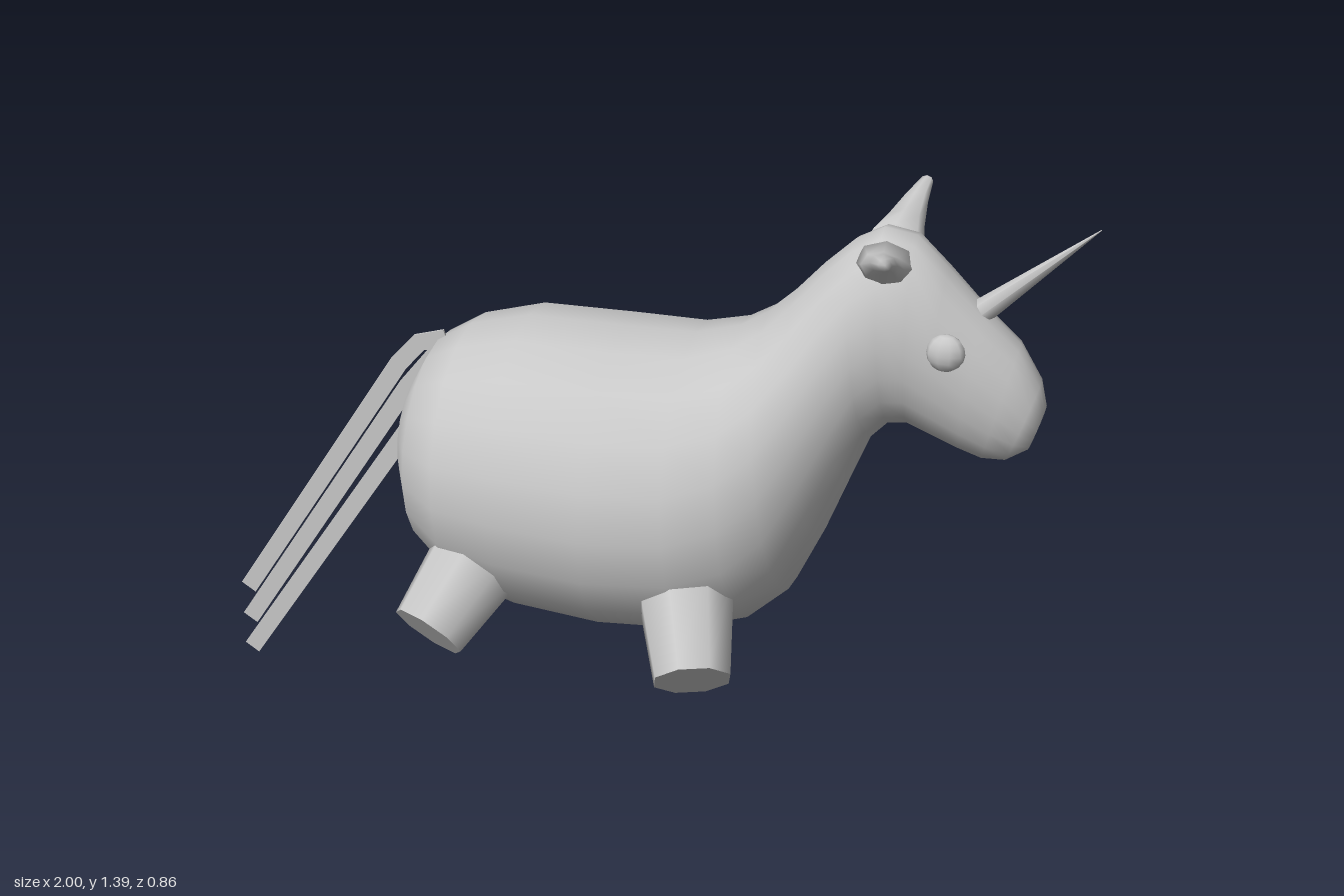
import * as THREE from 'three';

const V = (x, y, z = 0) => new THREE.Vector3(x, y, z);

// Closed smooth skin over elliptical rings [centre, u, v], where u x v points along the loft
function loft(rings, sides) {
  const pos = [], idx = [];
  for (const [c, u, v] of rings) {
    for (let j = 0; j < sides; j++) {
      const a = (j / sides) * Math.PI * 2;
      pos.push(...c.clone().addScaledVector(u, Math.cos(a)).addScaledVector(v, Math.sin(a)).toArray());
    }
  }
  const last = rings.length - 1, start = rings.length * sides, end = start + 1;
  pos.push(...rings[0][0].toArray(), ...rings[last][0].toArray());
  for (let j = 0; j < sides; j++) {
    const k = (j + 1) % sides;
    for (let i = 0; i < last; i++) {
      const a = i * sides + j, d = i * sides + k, b = a + sides, c = d + sides;
      idx.push(a, d, c, a, c, b);
    }
    idx.push(start, k, j, end, last * sides + j, last * sides + k);
  }
  const g = new THREE.BufferGeometry();
  g.setAttribute('position', new THREE.Float32BufferAttribute(pos, 3));
  g.setIndex(idx);
  g.computeVertexNormals();
  return g;
}

// Tapered round piece standing between two points
function taper(from, to, r0, r1, sides) {
  const dir = to.clone().sub(from);
  const g = new THREE.CylinderGeometry(r1, r0, dir.length(), sides);
  g.applyQuaternion(new THREE.Quaternion().setFromUnitVectors(V(0, 1), dir.clone().normalize()));
  const mid = from.clone().add(to).multiplyScalar(0.5);
  return g.translate(mid.x, mid.y, mid.z);
}

export function createModel() {
  const model = new THREE.Group();
  const grey = new THREE.MeshStandardMaterial({ color: 0xc8c8c8 });
  grey.name = 'plain grey';
  const add = (name, geometry) => {
    const m = new THREE.Mesh(geometry, grey);
    m.name = name;
    model.add(m);
    return m;
  };

  // Body, neck and head: top x, top y, bottom x, bottom y, half width
  const sections = [
    [-0.515, 0.73, -0.515, 0.65, 0.04], [-0.5, 0.84, -0.5, 0.57, 0.13],
    [-0.44, 0.95, -0.44, 0.46, 0.25], [-0.36, 1.0, -0.34, 0.38, 0.31],
    [-0.22, 1.04, -0.2, 0.345, 0.345], [0, 1.045, 0, 0.333, 0.355],
    [0.16, 1.05, 0.2, 0.347, 0.335], [0.26, 1.08, 0.32, 0.385, 0.3],
    [0.32, 1.12, 0.41, 0.47, 0.26], [0.38, 1.18, 0.47, 0.61, 0.21],
    [0.44, 1.25, 0.52, 0.75, 0.17], [0.5, 1.31, 0.56, 0.86, 0.147],
    [0.56, 1.345, 0.6, 0.905, 0.135], [0.63, 1.335, 0.64, 0.91, 0.125],
    [0.7, 1.27, 0.69, 0.89, 0.116], [0.78, 1.19, 0.75, 0.865, 0.102],
    [0.86, 1.12, 0.8, 0.848, 0.088], [0.91, 1.04, 0.85, 0.85, 0.07],
    [0.925, 0.98, 0.895, 0.88, 0.045],
  ];
  add('body', loft(sections.map(([tx, ty, bx, by, w]) => [
    V((tx + bx) / 2, (ty + by) / 2), V((tx - bx) / 2, (ty - by) / 2), V(0, 0, w),
  ]), 20));

  for (const s of [1, -1]) {
    // Ear: flat, tapering outward
    const ear = [
      [0.575, 1.28, 0.05, 0.065, 0.055], [0.58, 1.305, 0.115, 0.045, 0.034],
      [0.592, 1.338, 0.175, 0.028, 0.022], [0.605, 1.362, 0.235, 0.014, 0.013],
    ];
    add('ear', loft(ear.map(([x, y, z, a, b]) => [V(x, y, z * s), V(a * s, 0), V(0, b)]), 8));

    // Eye
    const eye = add('eye', new THREE.SphereGeometry(1, 10, 8));
    eye.scale.set(0.041, 0.041, 0.026);
    eye.position.set(0.72, 1.13, 0.111 * s);

    // Stubby splayed legs
    add('frontLeg', taper(V(0.2, 0.54, 0.2 * s), V(0.265, 0.4, 0.37 * s), 0.115, 0.088, 8));
    add('backLeg', taper(V(-0.27, 0.54, 0.2 * s), V(-0.345, 0.41, 0.37 * s), 0.115, 0.088, 8));
  }

  // Horn
  add('horn', taper(V(0.755, 1.165), V(0.997, 1.39), 0.03, 0.001, 8));

  // Belly button
  const navel = add('navel', new THREE.SphereGeometry(1, 10, 6));
  navel.scale.set(0.03, 0.015, 0.04);
  navel.position.set(-0.03, 0.336, 0);

  // Tail: three thin flat strands bending down from the rump
  const strands = [
    [[-0.42, 0.955], [-0.487, 0.935], [-0.54, 0.875], [-0.977, 0.193]],
    [[-0.44, 0.92], [-0.52, 0.82], [-0.98, 0.102]],
    [[-0.44, 0.85], [-0.51, 0.73], [-0.983, 0.013]],
  ];
  const half = 0.021;
  for (const points of strands) {
    const left = [], right = [];
    points.forEach((p, i) => {
      const a = points[Math.max(i - 1, 0)], b = points[Math.min(i + 1, points.length - 1)];
      const len = Math.hypot(b[0] - a[0], b[1] - a[1]);
      const nx = (-(b[1] - a[1]) / len) * half, ny = ((b[0] - a[0]) / len) * half;
      left.push(new THREE.Vector2(p[0] + nx, p[1] + ny));
      right.unshift(new THREE.Vector2(p[0] - nx, p[1] - ny));
    });
    const g = new THREE.ExtrudeGeometry(new THREE.Shape([...left, ...right]), { depth: 0.005, bevelEnabled: false });
    add('tailStrand', g.translate(0, 0, -0.0025));
  }
  return model;
}
